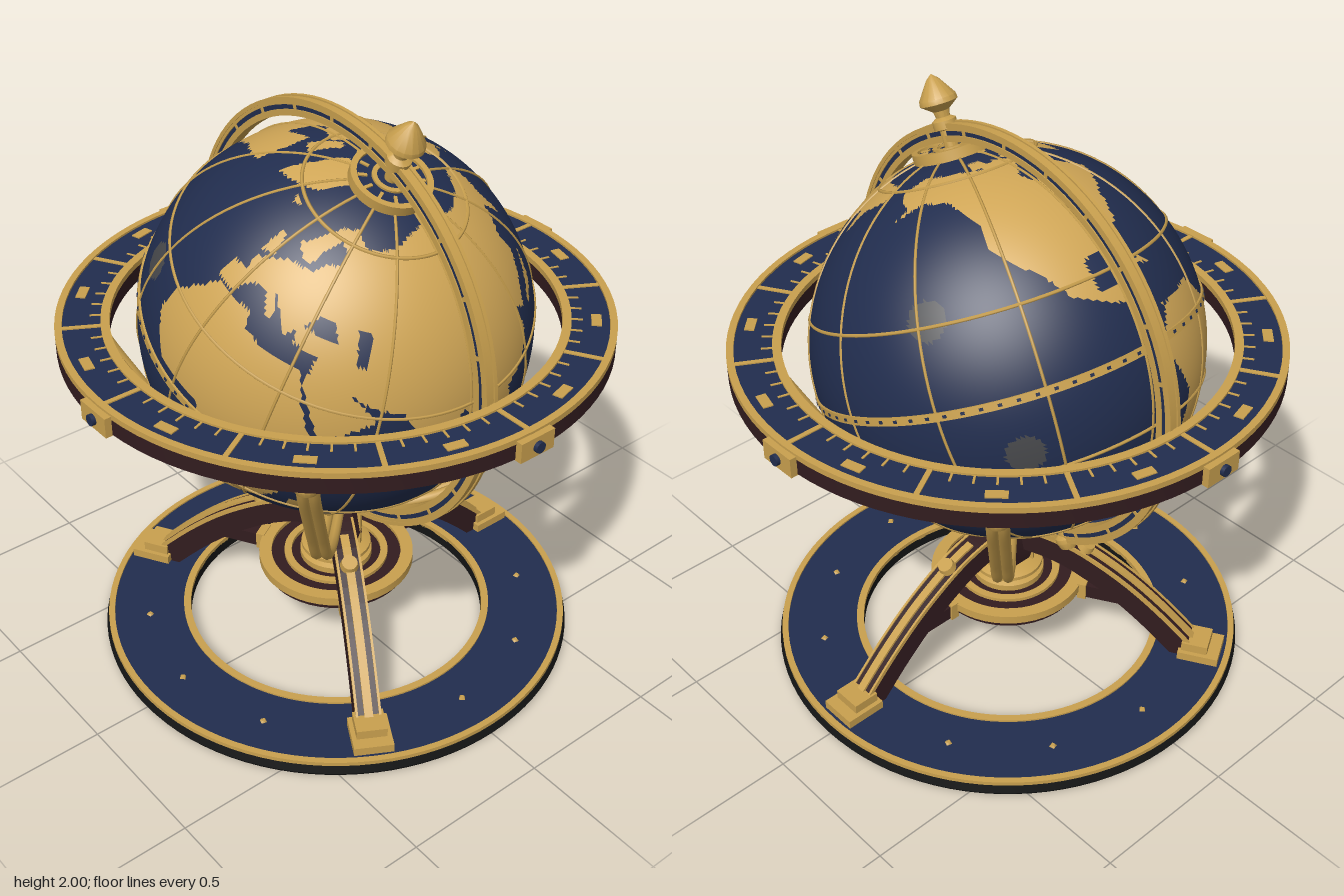
import * as THREE from 'three';
import { toCreasedNormals } from 'three/addons/utils/BufferGeometryUtils.js';

const TILT = 23.4 * Math.PI / 180, R = 0.625, CY = 1.21, RAD = Math.PI / 180;
const paint = (name, color) => Object.assign(new THREE.MeshStandardMaterial({ color }), { name });
const gold = paint('gold', 0xc9a04e), land = paint('land gold', 0xd0a656), navy = paint('navy', 0x212d4e);
const wood = paint('dark wood', 0x321c1f), black = paint('black', 0x141515), grey = paint('grey', 0x47484b);

function add(parent, name, geo, mat, x = 0, y = 0, z = 0) {
  const m = new THREE.Mesh(geo, mat);
  m.name = name;
  m.position.set(x, y, z);
  parent.add(m);
  return m;
}
function group(parent, name, rotY = 0) {
  const g = new THREE.Group();
  g.name = name;
  g.rotation.y = rotY;
  parent.add(g);
  return g;
}
const box = (w, h, d) => new THREE.BoxGeometry(w, h, d);
const lathe = (pts, seg = 48) =>
  toCreasedNormals(new THREE.LatheGeometry(pts.map(p => new THREE.Vector2(p[0], p[1])), seg), 0.5);
const annulus = (r0, r1, y0, y1, seg = 96) => lathe([[r0, y0], [r1, y0], [r1, y1], [r0, y1], [r0, y0]], seg);

// Coastlines as longitude, latitude pairs
const coasts = [], seas = [];
const coast = (...p) => coasts.push(p), sea = (...p) => seas.push(p);
// Africa and Madagascar
coast(-6, 36, 10, 37, 11, 33, 20, 31, 33, 31, 37, 22, 43, 12, 51, 12, 40, -3, 40, -15, 35, -24, 27, -34, 18, -34, 12, -17, 13, -6, 9, 4, -8, 4, -17, 14, -16, 23);
coast(44, -25, 47, -25, 50, -15, 44, -18);
// Europe and Asia
coast(-9, 37, -9, 43, -2, 44, -4, 48, 8, 54, 20, 55, 23, 59, 30, 60, 30, 67, 42, 67, 60, 69, 72, 73, 105, 77, 130, 72, 160, 70, 180, 69, 178, 63, 163, 59,
  157, 51, 155, 59, 140, 54, 140, 48, 128, 39, 126, 35, 121, 39, 122, 30, 117, 23, 108, 20, 109, 12, 104, 9, 103, 2, 99, 10, 94, 17, 88, 22, 80, 14, 77, 8,
  73, 18, 67, 25, 57, 26, 48, 30, 56, 25, 59, 22, 45, 13, 35, 28, 36, 36, 27, 37, 26, 41, 23, 37, 19, 41, 13, 45, 17, 40, 15, 38, 9, 44, 3, 43, -1, 37);
coast(5, 59, 13, 56, 17, 57, 18, 61, 23, 66, 30, 64, 40, 67, 28, 71, 17, 69);
coast(-5, 50, 1, 52, -3, 58, -6, 57);
coast(130, 32, 140, 35, 145, 44, 139, 40, 132, 35);
// Islands of the south east, and the southern continent
coast(95, 6, 106, -5, 102, -5);
coast(105, -6, 115, -7, 115, -9, 106, -8);
coast(109, 1, 117, 7, 118, 1, 115, -4, 110, -3);
coast(119, 1, 125, 1, 121, -5);
coast(120, 18, 122, 18, 126, 7, 122, 8);
coast(131, -1, 141, -3, 150, -10, 138, -8);
coast(114, -22, 122, -18, 130, -12, 136, -12, 136, -16, 140, -17, 142, -11, 153, -26, 150, -37, 140, -38, 131, -31, 115, -34);
coast(173, -35, 178, -38, 168, -47, 166, -45);
// The Americas and Greenland
coast(-168, 66, -156, 71, -128, 70, -110, 68, -95, 71, -82, 68, -94, 60, -92, 57, -80, 52, -78, 62, -66, 59, -56, 52, -66, 45, -70, 43, -76, 35, -81, 31,
  -80, 25, -84, 30, -97, 28, -97, 19, -91, 19, -87, 21, -88, 16, -83, 10, -77, 8, -85, 11, -105, 20, -112, 30, -117, 33, -124, 40, -124, 48, -135, 58,
  -150, 60, -164, 55, -158, 59, -165, 62);
coast(-80, 73, -62, 66, -72, 63, -88, 71);
coast(-90, 76, -62, 82, -80, 83, -95, 80);
coast(-117, 73, -105, 73, -102, 69, -116, 69);
coast(-84, 22, -75, 20, -78, 23);
coast(-77, 8, -62, 10, -50, 0, -35, -6, -39, -14, -48, -27, -57, -36, -65, -42, -68, -54, -74, -50, -71, -20, -81, -5, -80, 2);
coast(-45, 60, -22, 70, -20, 80, -35, 83, -60, 81, -70, 77, -54, 70);
coast(-24, 65, -14, 65, -19, 63);
// Inland seas
sea(28, 42, 41, 41, 38, 46, 31, 46);
sea(49, 37, 53, 37, 52, 46, 47, 46);

function inside(p, lon, lat) {
  let hit = false;
  for (let i = 0, j = p.length - 2; i < p.length; j = i, i += 2)
    if (p[i + 1] > lat !== p[j + 1] > lat && lon < p[i] + (p[j] - p[i]) * (lat - p[i + 1]) / (p[j + 1] - p[i + 1])) hit = !hit;
  return hit;
}
const roundels = [[-32, 16], [88, -22], [-147, 25], [-130, -16]];

// Sphere whose triangles are sorted into sea, land and roundels
function globeGeometry() {
  const g = new THREE.SphereGeometry(R, 288, 144), pos = g.attributes.position, idx = g.index.array;
  const lists = [[], [], []], c = new THREE.Vector3(), v = new THREE.Vector3();
  for (let i = 0; i < idx.length; i += 3) {
    c.set(0, 0, 0);
    for (let k = 0; k < 3; k++) c.add(v.fromBufferAttribute(pos, idx[i + k]));
    c.normalize();
    const lat = Math.asin(c.y) / RAD, lon = Math.atan2(c.x, c.z) / RAD;
    const isLand = lat < -72 || (coasts.some(p => inside(p, lon, lat)) && !seas.some(p => inside(p, lon, lat)));
    const isRoundel = roundels.some(([a, b]) => Math.hypot((lon - a) * Math.cos(b * RAD), lat - b) < 5.5);
    lists[isLand ? 1 : isRoundel ? 2 : 0].push(idx[i], idx[i + 1], idx[i + 2]);
  }
  g.setIndex(lists.flat());
  g.clearGroups();
  let start = 0;
  lists.forEach((l, k) => { g.addGroup(start, l.length, k); start += l.length; });
  return g;
}

function buildGlobe(root) {
  const globe = group(root, 'globe');
  globe.position.y = CY;
  globe.rotation.z = -TILT;
  add(globe, 'globeBall', globeGeometry(), [navy, land, grey]);
  // Parallels, meridians and equator
  for (const lat of [-66.5, -23.4, 23.4, 66.5])
    add(globe, 'parallel', new THREE.TorusGeometry(R * Math.cos(lat * RAD), 0.006, 5, 96), gold, 0, R * Math.sin(lat * RAD)).rotation.x = Math.PI / 2;
  for (let i = 0; i < 6; i++)
    add(globe, 'meridianLine', new THREE.TorusGeometry(R, 0.005, 5, 96), gold).rotation.y = i * Math.PI / 6;
  add(globe, 'equatorBand', annulus(R - 0.01, R + 0.007, -0.013, 0.013), gold);
  for (let i = 0; i < 72; i++)
    add(group(globe, 'equatorMark', (i + 0.5) * Math.PI / 36), 'mark', box(0.012, 0.009, 0.004), navy, 0, 0, R + 0.007);
  // Hour dial round the north pole
  add(globe, 'dialPlate', annulus(0.02, 0.11, 0.61, 0.636, 48), navy);
  add(globe, 'dialRim', annulus(0.106, 0.125, 0.605, 0.645, 48), gold);
  add(globe, 'dialInnerRing', annulus(0.045, 0.06, 0.62, 0.643, 48), gold);
  for (let i = 0; i < 12; i++)
    add(group(globe, 'dialMark', i * Math.PI / 6), 'mark', box(0.01, 0.006, 0.028), gold, 0, 0.638, 0.088);
  // Polar finials
  add(globe, 'northFinial', lathe([[0, 0.6], [0.022, 0.6], [0.022, 0.69], [0.038, 0.695], [0.038, 0.72], [0.022, 0.73], [0.026, 0.75], [0.06, 0.775], [0.058, 0.79], [0.02, 0.845], [0, 0.862]], 16), gold);
  add(globe, 'southFinial', lathe([[0, -0.745], [0.025, -0.74], [0.036, -0.715], [0.036, -0.7], [0.022, -0.69], [0.022, -0.6]], 16), gold);
}

function buildMeridianRing(root) {
  const ring = group(root, 'meridianRing');
  ring.position.y = CY;
  ring.rotation.x = Math.PI / 2;
  add(ring, 'innerHoop', annulus(0.655, 0.675, -0.02, 0.02), gold);
  add(ring, 'inlay', annulus(0.674, 0.691, -0.016, 0.016), navy);
  add(ring, 'outerHoop', annulus(0.69, 0.708, -0.02, 0.02), gold);
  for (const s of [-1, 1]) add(ring, 'edgeBead', annulus(0.7, 0.713, s * 0.016 - 0.006, s * 0.016 + 0.006), gold);
  for (let i = 0; i < 24; i++)
    add(group(ring, 'ringMark', i * Math.PI / 12), 'mark', box(0.014, 0.036, 0.018), gold, 0, 0, 0.682);
}

function buildHorizon(root) {
  const h = group(root, 'horizonRing');
  h.position.y = CY;
  add(h, 'horizonBody', lathe([[0.715, -0.035], [0.73, -0.042], [0.86, -0.042], [0.88, -0.03], [0.88, 0.022], [0.865, 0.03], [0.715, 0.03], [0.715, -0.035]], 96), wood);
  add(h, 'horizonFace', annulus(0.735, 0.862, 0.02, 0.034), navy);
  add(h, 'outerRim', annulus(0.857, 0.88, 0.022, 0.041), gold);
  add(h, 'innerRim', annulus(0.71, 0.738, 0.022, 0.041), gold);
  for (let i = 0; i < 72; i++) {
    const spoke = group(h, 'scaleMark', i * Math.PI / 36);
    if (i % 6 === 0) add(spoke, 'hourBar', box(0.016, 0.008, 0.13), gold, 0, 0.034, 0.8);
    else add(spoke, 'tick', box(0.007, 0.006, 0.036), gold, 0, 0.034, 0.755);
    if (i % 6 === 3) add(spoke, 'plaque', box(0.066, 0.008, 0.032), gold, 0, 0.034, 0.815);
  }
  for (let i = 0; i < 4; i++) {
    const boss = group(h, 'sideBoss', i * Math.PI / 2);
    add(boss, 'bossPlate', box(0.13, 0.066, 0.04), gold, 0, 0, 0.88);
    add(boss, 'bossStud', new THREE.CylinderGeometry(0.018, 0.018, 0.02, 16), navy, 0, 0, 0.903).rotation.x = Math.PI / 2;
  }
}

// Twin-rail struts carrying the horizon ring
function buildStruts(root) {
  for (let i = 0; i < 4; i++) {
    const s = group(root, 'strut', Math.PI / 4 + i * Math.PI / 2);
    for (const x of [-0.017, 0.017]) {
      const path = new THREE.CatmullRomCurve3([[0.79, 1.15], [0.755, 1.07], [0.66, 0.92], [0.54, 0.74], [0.43, 0.59], [0.28, 0.51], [0.06, 0.475]].map(([r, y]) => new THREE.Vector3(x, y, r)));
      add(s, 'rail', new THREE.TubeGeometry(path, 32, 0.018, 8), gold);
    }
    add(s, 'strutCap', lathe([[0, 1.115], [0.035, 1.12], [0.045, 1.14], [0.045, 1.17], [0, 1.17]], 20), gold, 0, 0, 0.79);
  }
}

const archCurve = new THREE.SplineCurve([[0.05, 0.475], [0.16, 0.455], [0.27, 0.415], [0.42, 0.325], [0.56, 0.21], [0.7, 0.07]].map(p => new THREE.Vector2(...p)));
// Solid strip that follows the leg arch between two depths below its top line
function archStrip(d0, d1, width, t0 = 0, t1 = 1) {
  const side = d => Array.from({ length: 17 }, (_, i) => {
    const t = t0 + (t1 - t0) * i / 16, p = archCurve.getPoint(t), n = archCurve.getTangent(t);
    return new THREE.Vector2(p.x + n.y * d, p.y - n.x * d);
  });
  const g = new THREE.ExtrudeGeometry(new THREE.Shape([...side(d1), ...side(d0).reverse()]), { depth: width, bevelEnabled: false });
  return g.translate(0, 0, -width / 2).rotateY(-Math.PI / 2);
}

function buildLegs(root) {
  for (const a of [Math.PI, Math.PI / 3, -Math.PI / 3]) {
    const leg = group(root, 'leg', a);
    add(leg, 'legArch', archStrip(0, 0.09, 0.08), wood);
    add(leg, 'legInlay', archStrip(-0.008, 0.004, 0.028, 0.22, 0.95), gold);
    for (const s of [-1, 1]) add(leg, 'legEdge', archStrip(-0.004, 0.01, 0.008, 0.1, 0.95), gold, s * 0.038);
    add(leg, 'legStud', new THREE.CylinderGeometry(0.026, 0.032, 0.03, 16), gold, 0, 0.42, 0.28).rotation.x = 0.45;
    add(leg, 'footPlate', box(0.13, 0.03, 0.14), gold, 0, 0.063, 0.7);
    add(leg, 'footBlock', box(0.1, 0.035, 0.09), gold, 0, 0.093, 0.685);
    add(leg, 'brace', box(0.05, 0.05, 0.26), wood, 0, 0.232, 0.36);
    add(leg, 'braceCollar', box(0.065, 0.062, 0.03), gold, 0, 0.234, 0.275);
  }
}

function buildHub(root) {
  const hub = group(root, 'hub');
  add(hub, 'cradleBowl', lathe([[0, 0.455], [0.075, 0.455], [0.085, 0.49], [0.11, 0.505], [0.11, 0.53], [0.08, 0.55], [0.07, 0.575], [0, 0.575]], 32), gold);
  add(hub, 'post', lathe([[0, 0.27], [0.075, 0.29], [0.095, 0.36], [0.08, 0.46], [0, 0.46]], 6), wood);
  for (let i = 0; i < 6; i++) add(group(hub, 'postRib', i * Math.PI / 3), 'rib', box(0.014, 0.18, 0.02), gold, 0, 0.37, 0.082);
  add(hub, 'postCollar', lathe([[0, 0.25], [0.125, 0.25], [0.125, 0.272], [0.105, 0.28], [0.12, 0.29], [0.12, 0.303], [0.08, 0.32], [0, 0.32]], 32), gold);
  add(hub, 'shelf', lathe([[0, 0.19], [0.2, 0.195], [0.25, 0.205], [0.255, 0.25], [0, 0.25]], 48), wood);
  add(hub, 'shelfOuterRim', annulus(0.225, 0.268, 0.232, 0.262, 48), gold);
  add(hub, 'shelfInnerRim', annulus(0.155, 0.18, 0.24, 0.262, 48), gold);
  add(hub, 'pendant', lathe([[0, 0.08], [0.015, 0.09], [0.055, 0.135], [0.058, 0.155], [0.035, 0.165], [0.045, 0.18], [0.045, 0.195], [0, 0.195]], 20), gold);
}

function buildBase(root) {
  const base = group(root, 'base');
  add(base, 'baseBody', lathe([[0.515, 0], [0.805, 0], [0.812, 0.012], [0.805, 0.038], [0.515, 0.038], [0.515, 0]], 96), black);
  add(base, 'baseFace', annulus(0.535, 0.79, 0.03, 0.046), navy);
  add(base, 'baseOuterRim', annulus(0.782, 0.803, 0.034, 0.052), gold);
  add(base, 'baseInnerRim', annulus(0.515, 0.54, 0.034, 0.052), gold);
  for (let i = 0; i < 12; i++)
    add(group(base, 'baseStud', i * Math.PI / 6), 'stud', new THREE.CylinderGeometry(0.008, 0.014, 0.008, 4), gold, 0, 0.049, 0.66);
}

export function createModel() {
  const root = new THREE.Group();
  root.name = 'deskGlobe';
  [buildGlobe, buildMeridianRing, buildHorizon, buildStruts, buildLegs, buildHub, buildBase].forEach(build => build(root));
  return root;
}
